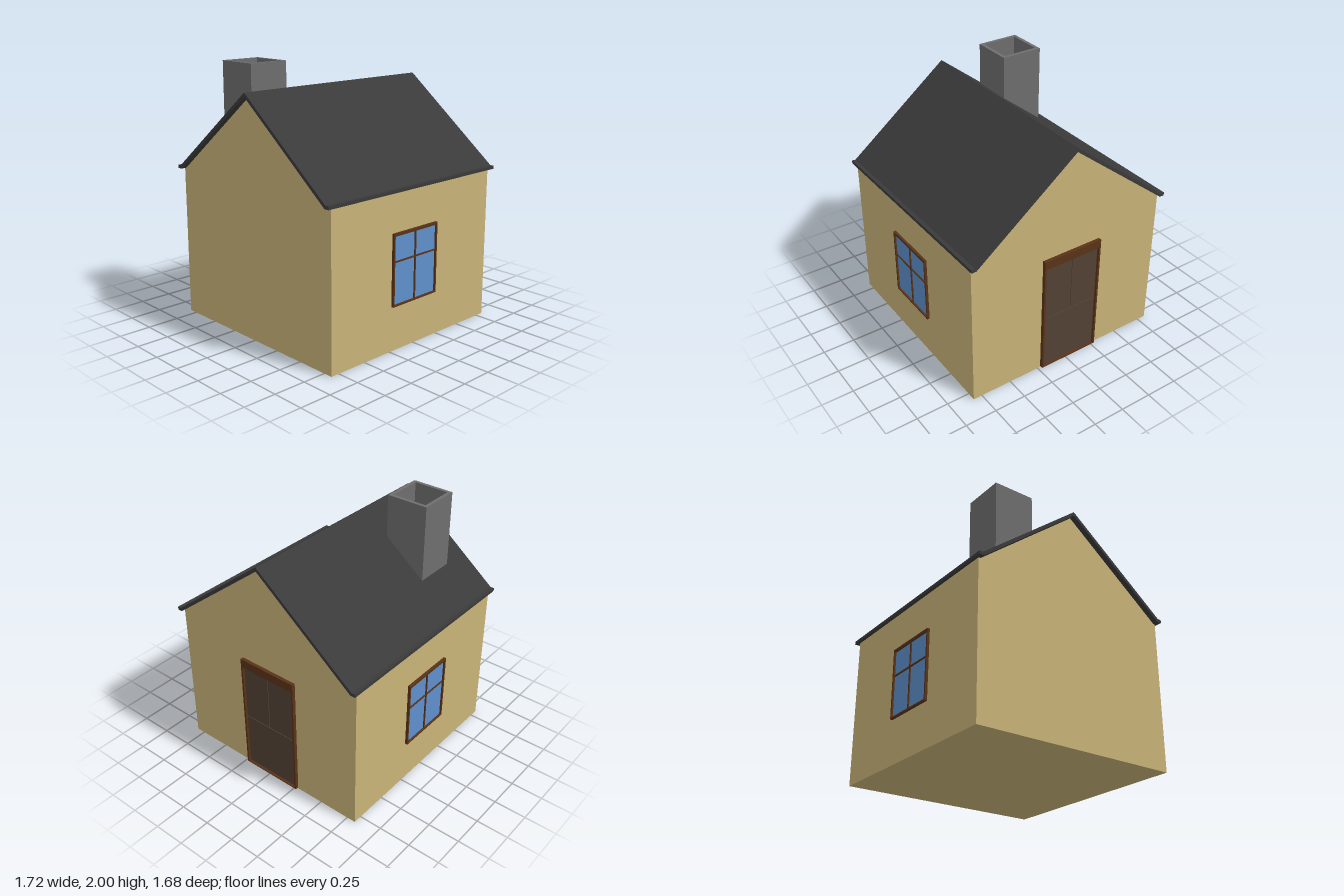
import * as THREE from 'three';

const mat = (color) => new THREE.MeshStandardMaterial({ color, flatShading: true });
const WALL = mat(0xc8b478), ROOF = mat(0x3a3a3b), STONE = mat(0x6e6e6e);
const WOOD = mat(0x5a3317), DOOR = mat(0x544236), GLASS = mat(0x5f90cc);

function add(parent, name, geometry, material) {
  const mesh = new THREE.Mesh(geometry, material);
  mesh.name = name;
  parent.add(mesh);
  return mesh;
}

// Box given by its two opposite corners
function block(parent, name, material, [x0, y0, z0], [x1, y1, z1]) {
  const g = new THREE.BoxGeometry(x1 - x0, y1 - y0, z1 - z0);
  g.translate((x0 + x1) / 2, (y0 + y1) / 2, (z0 + z1) / 2);
  return add(parent, name, g, material);
}

// Half profile (z, y) mirrored across z = 0 and extruded along x
function gableSolid(points, width) {
  const g = new THREE.ExtrudeGeometry(new THREE.Shape(points.map(([z, y]) => new THREE.Vector2(z, y))),
    { depth: width, bevelEnabled: false });
  return g.translate(0, 0, -width / 2).rotateY(Math.PI / 2);
}

function rect(PathType, x0, y0, x1, y1) {
  return new PathType([[x0, y0], [x1, y0], [x1, y1], [x0, y1]].map(([x, y]) => new THREE.Vector2(x, y)));
}

// Window on the front (s = 1) or back (s = -1) wall
function makeWindow(name, s) {
  const w = new THREE.Group();
  w.name = name;
  const bar = (part, x0, y0, x1, y1, out, material = WOOD) => {
    const z = [s * 0.81, s * out].sort((a, b) => a - b);
    block(w, part, material, [x0, y0, z[0]], [x1, y1, z[1]]);
  };
  bar('glass', -0.23, 0.345, 0.215, 0.87, 0.826, GLASS);
  bar('frameSide', -0.237, 0.34, -0.225, 0.88, 0.84);
  bar('frameSide', 0.208, 0.34, 0.22, 0.88, 0.84);
  bar('sill', -0.225, 0.34, 0.208, 0.352, 0.84);
  bar('lintel', -0.225, 0.86, 0.208, 0.88, 0.84);
  bar('mullion', -0.013, 0.352, -0.002, 0.86, 0.835);
  bar('transom', -0.225, 0.665, 0.208, 0.676, 0.834);
  return w;
}

// Door on the +x gable wall
function makeDoor() {
  const d = new THREE.Group();
  d.name = 'door';
  block(d, 'jamb', WOOD, [0.81, 0.01, 0.211], [0.845, 0.92, 0.226]);
  block(d, 'jamb', WOOD, [0.81, 0.01, -0.275], [0.845, 0.92, -0.26]);
  block(d, 'lintel', WOOD, [0.81, 0.92, -0.275], [0.845, 0.988, 0.226]);
  block(d, 'threshold', WOOD, [0.81, 0.01, -0.26], [0.845, 0.018, 0.211]);
  block(d, 'slab', DOOR, [0.81, 0.018, -0.26], [0.826, 0.92, 0.211]);
  // shallow raised panels: two tall ones above, one wide one below
  for (const [y0, y1, z0, z1] of [[0.47, 0.912, -0.252, -0.028], [0.47, 0.912, -0.02, 0.203], [0.026, 0.462, -0.252, 0.203]])
    block(d, 'panel', DOOR, [0.82, y0, z0], [0.831, y1, z1]);
  return d;
}

// Hollow square chimney with a flat floor inside
function makeChimney() {
  const c = new THREE.Group();
  c.name = 'chimney';
  // drawn in (x, -z)
  const shape = rect(THREE.Shape, -0.632, 0.212, -0.302, 0.545);
  shape.holes.push(rect(THREE.Path, -0.605, 0.24, -0.33, 0.518));
  const g = new THREE.ExtrudeGeometry(shape, { depth: 0.64, bevelEnabled: false });
  add(c, 'shaft', g.rotateX(-Math.PI / 2).translate(0, 1.36, 0), STONE);
  block(c, 'flueFloor', STONE, [-0.61, 1.4, -0.525], [-0.325, 1.613, -0.235]);
  return c;
}

export function createModel() {
  const house = new THREE.Group();
  house.name = 'house';

  add(house, 'walls', gableSolid([[-0.82, 0], [0.82, 0], [0.82, 1.18], [0, 1.815], [-0.82, 1.18]], 1.636), WALL);

  // Thin pitched roof with a small flat lip at each eave
  const half = [[0.812, 1.197], [0.842, 1.197], [0.842, 1.172], [0.804, 1.172]];
  const mirrored = half.map(([z, y]) => [-z, y]).reverse();
  add(house, 'roof', gableSolid([[0, 1.836], ...half, [0, 1.805], ...mirrored], 1.724), ROOF);

  house.add(makeChimney(), makeDoor(), makeWindow('frontWindow', 1), makeWindow('backWindow', -1));
  return house;
}
